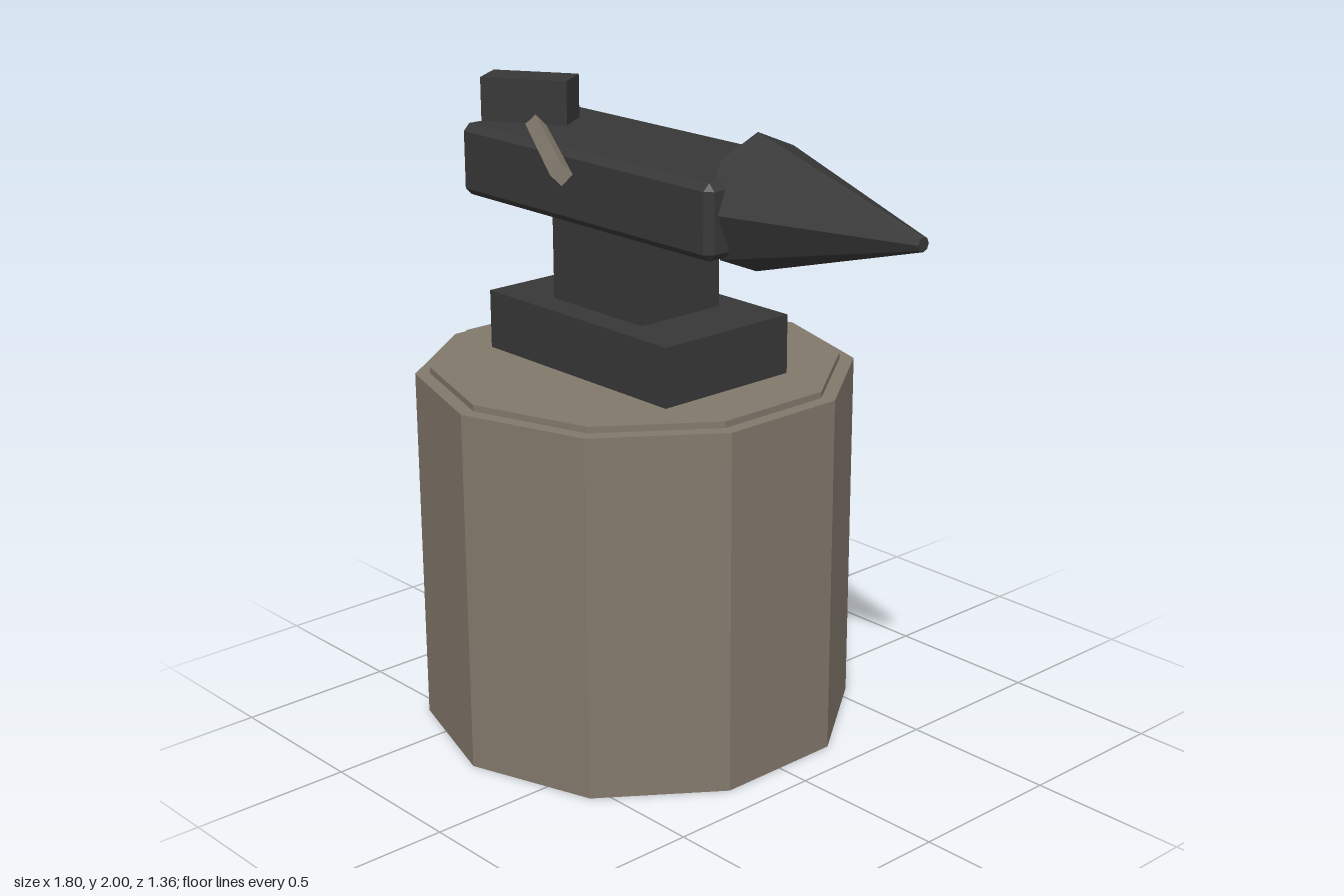
import * as THREE from 'three';
import { ConvexGeometry } from 'three/addons/geometries/ConvexGeometry.js';

const flat = (name, color) => {
  const m = new THREE.MeshStandardMaterial({ color });
  m.name = name;
  m.flatShading = true;
  return m;
};

// Box with every edge cut by a chamfer
function chamferedBox(w, h, d, c) {
  const points = [];
  for (const sx of [-1, 1]) for (const sy of [-1, 1]) for (const sz of [-1, 1]) {
    for (let axis = 0; axis < 3; axis++) {
      const half = [w / 2, h / 2, d / 2].map((v, i) => (i === axis ? v : v - c));
      points.push(new THREE.Vector3(sx * half[0], sy * half[1], sz * half[2]));
    }
  }
  return new ConvexGeometry(points);
}

export function createModel() {
  const group = new THREE.Group();
  const wood = flat('wood', 0x83796c);
  const iron = flat('iron', 0x383838);
  const cx = -0.257;

  const add = (name, geometry, material, x, y, z) => {
    const mesh = new THREE.Mesh(geometry, material);
    mesh.name = name;
    mesh.position.set(x, y, z);
    group.add(mesh);
    return mesh;
  };

  // Ten-sided stump with a slightly smaller top disc
  add('stump', new THREE.CylinderGeometry(0.68, 0.68, 1.14, 10), wood, cx, 0.57, 0);
  add('stumpTop', new THREE.CylinderGeometry(0.635, 0.635, 0.04, 10), wood, cx, 1.14, 0);

  // Anvil: foot, waist, chamfered body
  add('anvilFoot', new THREE.BoxGeometry(0.815, 0.185, 0.494), iron, cx, 1.2525, 0);
  add('anvilWaist', new THREE.BoxGeometry(0.406, 0.3, 0.314), iron, cx, 1.48, 0);
  add('anvilBody', chamferedBox(1.13, 0.225, 0.452, 0.022), iron, cx, 1.7325, 0);

  // Horn pointing to +x
  const horn = add('anvilHorn', new THREE.CylinderGeometry(0.021, 0.203, 0.632, 8), iron, 0.584, 1.753, 0);
  horn.rotation.z = -Math.PI / 2;

  // Hammer resting on the body
  const head = add('hammerHead', new THREE.BoxGeometry(0.275, 0.135, 0.127), iron, -0.643, 1.9325, 0.087);
  head.rotation.y = 0.573;

  // Four-sided handle, ridge upwards
  const start = new THREE.Vector3(-0.595, 1.862, 0.108);
  const end = new THREE.Vector3(0.081, 1.89, 0.563);
  const handleGeometry = new THREE.CylinderGeometry(0.031, 0.031, start.distanceTo(end), 4);
  handleGeometry.rotateX(Math.PI / 2);
  const handle = add('hammerHandle', handleGeometry, wood, 0, 0, 0);
  handle.position.copy(start).lerp(end, 0.5);
  handle.lookAt(end);

  return group;
}
